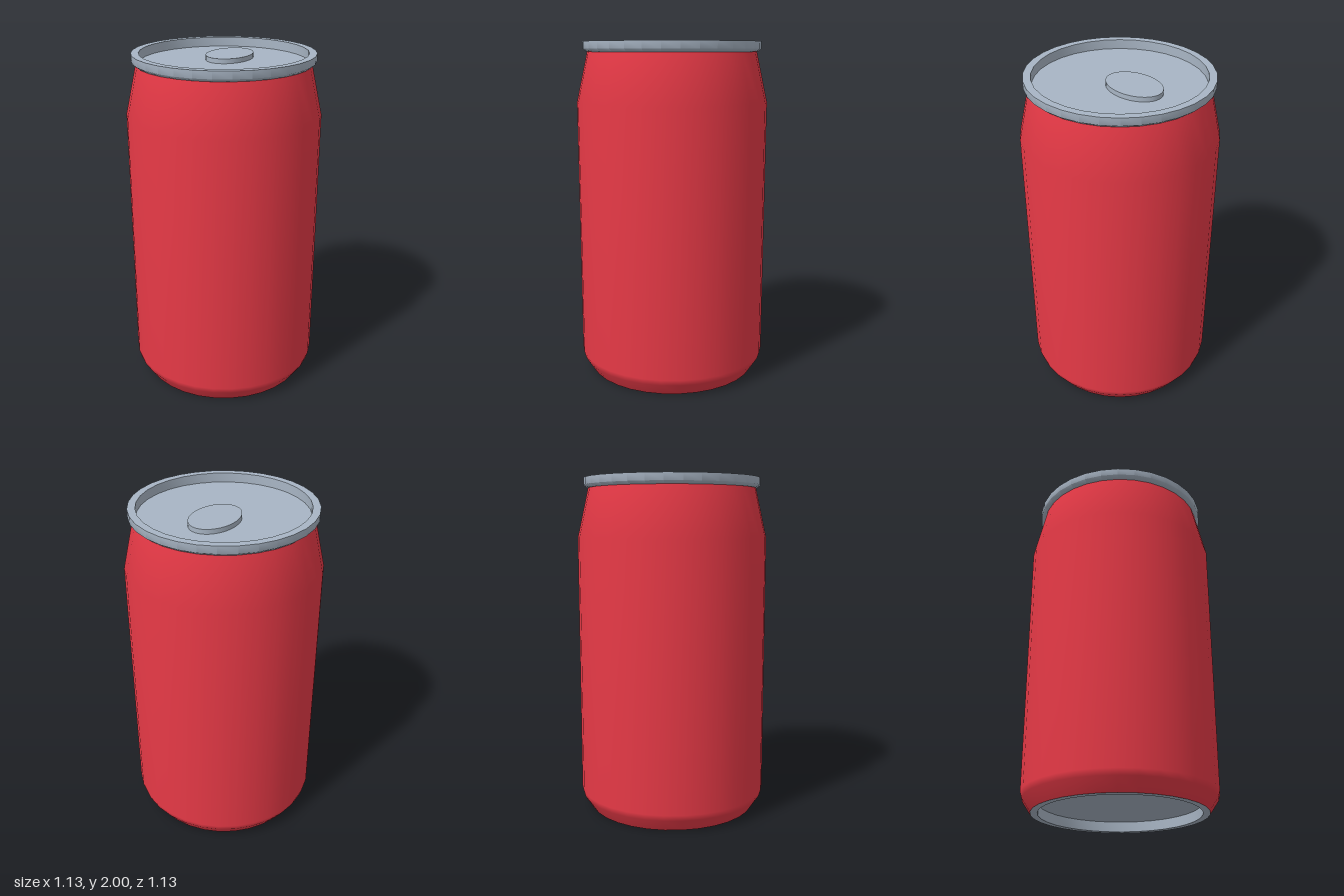
import * as THREE from 'three';
import { toCreasedNormals } from 'three/addons/utils/BufferGeometryUtils.js';

const SIDES = 32;

// Revolve a list of [radius, height] points around the y axis
function turned(name, points, material, crease) {
  const profile = points.map(([r, y]) => new THREE.Vector2(r, y));
  let geometry = new THREE.LatheGeometry(profile, SIDES);
  if (crease) geometry = toCreasedNormals(geometry, crease);
  const mesh = new THREE.Mesh(geometry, material);
  mesh.name = name;
  return mesh;
}

export function createModel() {
  const red = new THREE.MeshStandardMaterial({ color: 0xe63946 });
  red.name = 'red paint';
  const silver = new THREE.MeshStandardMaterial({ color: 0xa8b5c4 });
  silver.name = 'silver metal';

  const can = new THREE.Group();
  can.name = 'drinkCan';

  // Painted wall with tapered foot and neck
  can.add(turned('body', [
    [0.505, 0], [0.555, 0.075], [0.565, 0.11], [0.565, 1.65], [0.5, 1.94],
  ], red));

  // Recessed underside with its standing ring
  can.add(turned('base', [
    [0, 0.06], [0.464, 0.06], [0.464, 0], [0.505, 0],
  ], silver, 0.6));

  // Raised rim and sunken lid
  can.add(turned('lid', [
    [0.49, 1.94], [0.505, 1.94], [0.526, 1.957], [0.526, 2],
    [0.482, 2], [0.482, 1.945], [0, 1.945],
  ], silver, 0.9));

  // Oval pull tab, turned slightly and set towards the back
  const tab = new THREE.Mesh(new THREE.CylinderGeometry(1, 1, 0.027, 48), silver);
  tab.name = 'pullTab';
  tab.scale.set(0.13, 1, 0.183);
  tab.rotation.y = -0.08;
  tab.position.set(0, 1.9585, -0.108);
  can.add(tab);

  return can;
}
